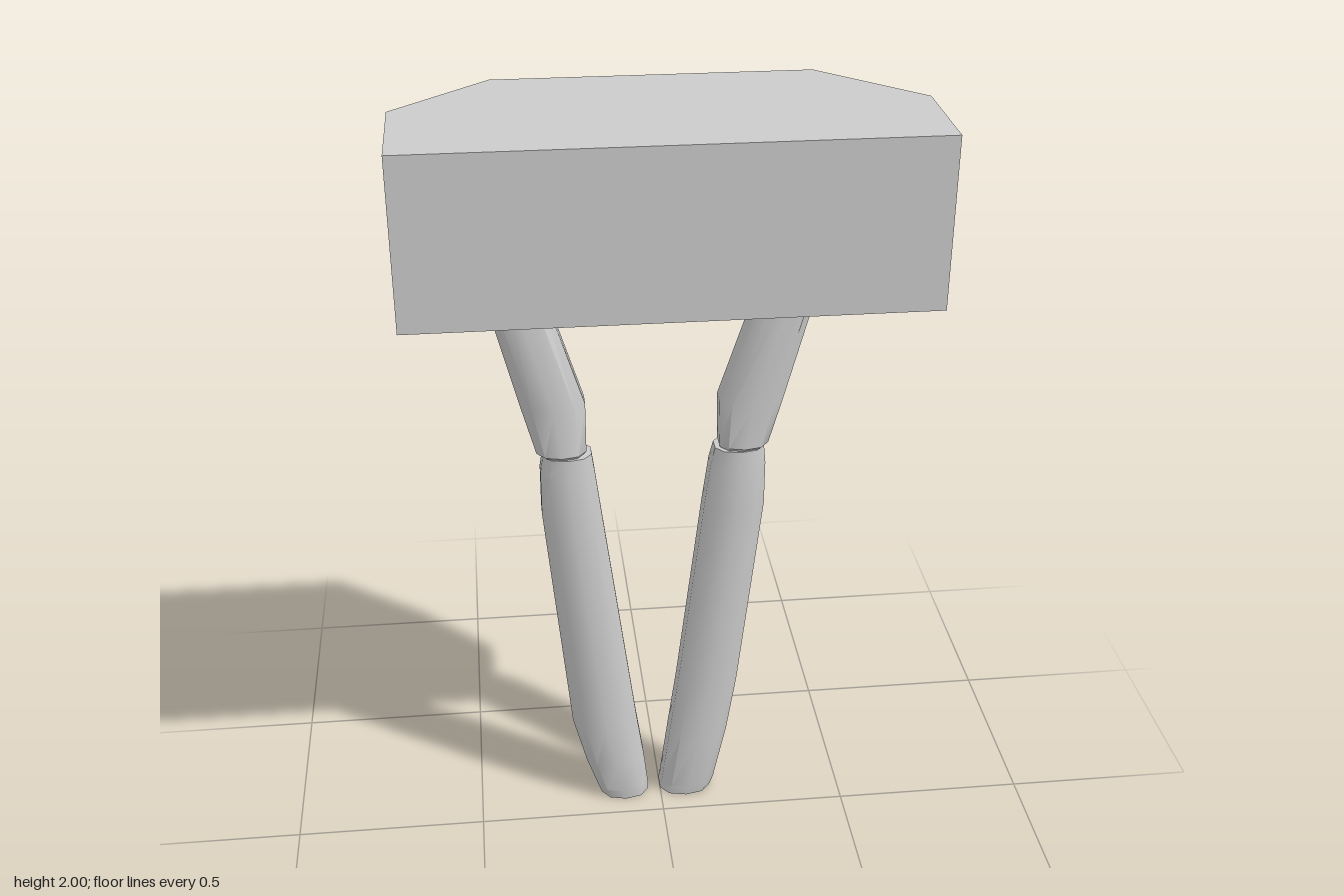
import * as THREE from 'three';
import { toCreasedNormals } from 'three/addons/utils/BufferGeometryUtils.js';

const SIDES = 10;

// Closed limb lofted through rows of [y, xMin, xMax, zMin, zMax], bottom to top
function limb(name, rows, material) {
  const pos = [], idx = [];
  for (const [y, x0, x1, z0, z1] of rows) {
    for (let i = 0; i < SIDES; i++) {
      const a = ((i + 0.5) / SIDES) * Math.PI * 2;
      // slightly squared ellipse that fills its bounds
      const sq = (v) => Math.sign(v) * Math.pow(Math.abs(v), 0.85);
      const cx = sq(Math.cos(a)) / Math.pow(Math.cos(Math.PI / SIDES), 0.85);
      pos.push((x0 + x1) / 2 + cx * (x1 - x0) / 2, y, (z0 + z1) / 2 + sq(Math.sin(a)) * (z1 - z0) / 2);
    }
  }
  const last = (rows.length - 1) * SIDES;
  for (let r = 0; r < last; r += SIDES) {
    for (let i = 0; i < SIDES; i++) {
      const j = (i + 1) % SIDES;
      idx.push(r + i, r + SIDES + i, r + j, r + j, r + SIDES + i, r + SIDES + j);
    }
  }
  // end caps
  for (let i = 1; i < SIDES - 1; i++) {
    idx.push(0, i, i + 1, last, last + i + 1, last + i);
  }
  const geo = new THREE.BufferGeometry();
  geo.setAttribute('position', new THREE.Float32BufferAttribute(pos, 3));
  geo.setIndex(idx);
  const mesh = new THREE.Mesh(toCreasedNormals(geo, 0.7), material);
  mesh.name = name;
  return mesh;
}

export function createModel() {
  const model = new THREE.Group();
  model.name = 'model';
  const grey = new THREE.MeshStandardMaterial({ color: 0xcccccc });

  // Body block: plan outline with two chamfered back corners, as [x, z]
  const outline = [[-0.61, 0.25], [0.61, 0.25], [0.61, -0.025], [0.38, -0.255], [-0.38, -0.255], [-0.61, -0.04]];
  const shape = new THREE.Shape(outline.map(([x, z]) => new THREE.Vector2(x, -z)));
  const block = new THREE.ExtrudeGeometry(shape, { depth: 0.405, bevelEnabled: false });
  block.rotateX(-Math.PI / 2).translate(0, 1.595, 0);
  // underside dips slightly toward the back
  const p = block.attributes.position;
  for (let i = 0; i < p.count; i++) {
    if (p.getY(i) < 1.7 && p.getZ(i) < -0.2) p.setY(i, 1.583);
  }
  block.computeVertexNormals();
  const body = new THREE.Mesh(block, grey);
  body.name = 'body';
  model.add(body);

  // Left leg (+x)
  const left = new THREE.Group();
  left.name = 'leftLeg';
  left.add(
    limb('leftShin', [
      [0, 0.0, 0.14, -0.18, -0.055],
      [0.03, 0.005, 0.15, -0.185, -0.05],
      [0.2, 0.027, 0.185, -0.185, -0.05],
      [0.37, 0.05, 0.21, -0.183, -0.05],
      [0.92, 0.115, 0.27, -0.183, -0.05],
      [1.04, 0.13, 0.27, -0.175, -0.05],
      [1.09, 0.14, 0.265, -0.16, -0.055],
    ], grey),
    limb('leftThigh', [
      [1.085, 0.155, 0.26, -0.155, -0.065],
      [1.1, 0.15, 0.275, -0.165, -0.05],
      [1.22, 0.15, 0.31, -0.18, -0.05],
      [1.58, 0.27, 0.405, -0.187, -0.05],
      [1.61, 0.285, 0.41, -0.185, -0.055],
    ], grey),
  );

  // Right leg (-x), set a little further out
  const right = new THREE.Group();
  right.name = 'rightLeg';
  right.add(
    limb('rightShin', [
      [0, -0.165, -0.035, -0.18, -0.055],
      [0.03, -0.175, -0.035, -0.185, -0.05],
      [0.12, -0.205, -0.045, -0.185, -0.05],
      [0.26, -0.24, -0.065, -0.183, -0.05],
      [0.92, -0.302, -0.15, -0.183, -0.05],
      [1.04, -0.302, -0.165, -0.175, -0.05],
      [1.09, -0.295, -0.172, -0.16, -0.055],
    ], grey),
    limb('rightThigh', [
      [1.085, -0.29, -0.195, -0.155, -0.065],
      [1.1, -0.31, -0.185, -0.165, -0.05],
      [1.23, -0.345, -0.185, -0.18, -0.05],
      [1.58, -0.433, -0.295, -0.187, -0.05],
      [1.61, -0.435, -0.31, -0.185, -0.055],
    ], grey),
  );

  model.add(left, right);
  return model;
}
